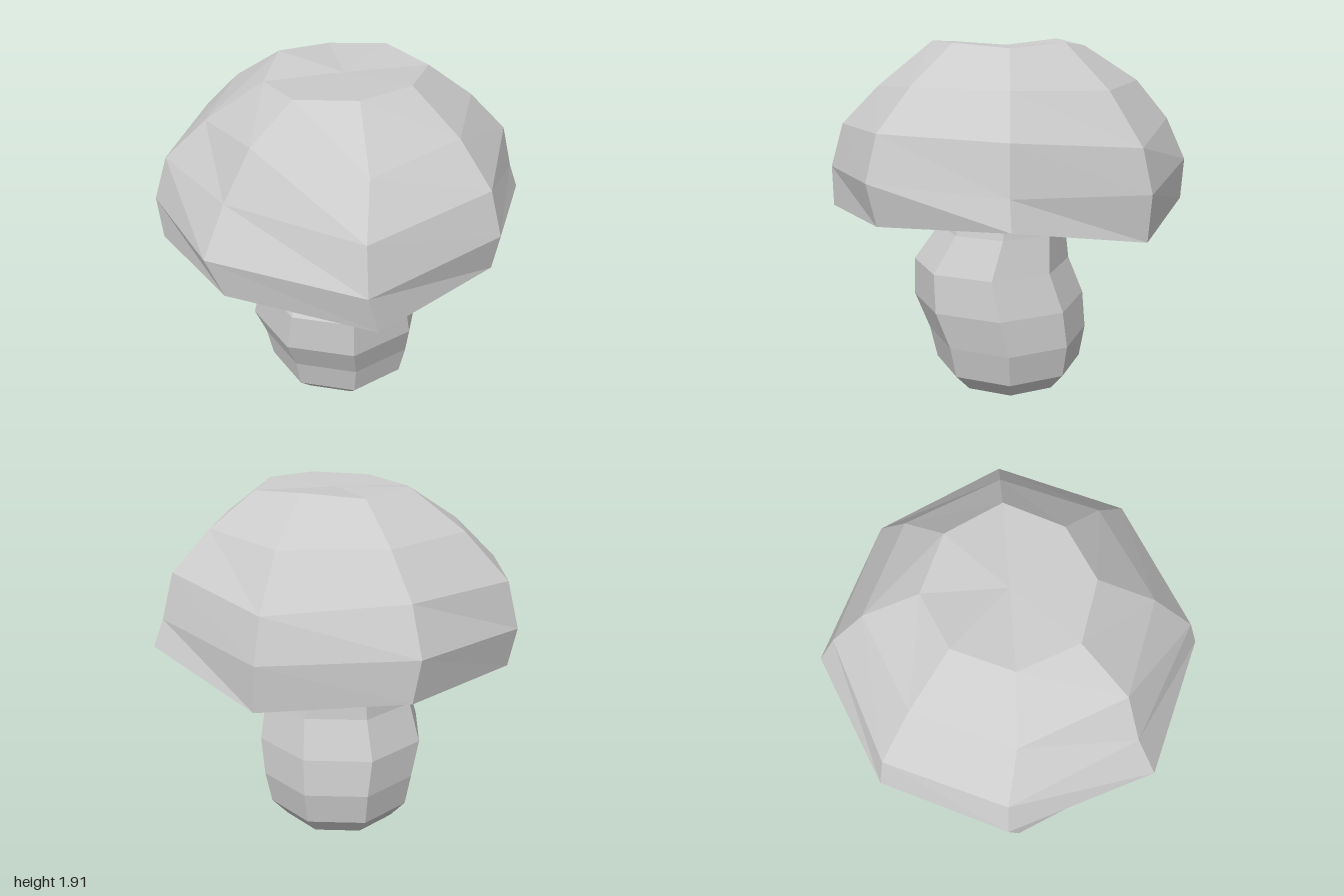
import * as THREE from 'three';

const SIDES = 8;

// Joins rings of points, listed from bottom to top, into a closed faceted skin.
function loft(name, rings, bottomCentre, topCentre) {
  const pos = [];
  const tri = (...pts) => pts.forEach((p) => pos.push(...p));
  const last = rings[rings.length - 1];
  for (let k = 0; k < SIDES; k++) {
    const n = (k + 1) % SIDES;
    for (let i = 0; i < rings.length - 1; i++) {
      const [lo, hi] = [rings[i], rings[i + 1]];
      tri(lo[k], hi[k], hi[n]);
      tri(lo[k], hi[n], lo[n]);
    }
    tri(bottomCentre, rings[0][k], rings[0][n]);
    tri(topCentre, last[n], last[k]);
  }
  const geo = new THREE.BufferGeometry();
  geo.setAttribute('position', new THREE.Float32BufferAttribute(pos, 3));
  geo.computeVertexNormals();
  const mesh = new THREE.Mesh(
    geo, new THREE.MeshStandardMaterial({ color: 0xcccccc, flatShading: true }));
  mesh.name = name;
  return mesh;
}

// Bent stem: each ring has height, radius and a shifted centre.
function makeStem() {
  const profile = [
    { y: 0, r: 0.325, x: -0.015, z: -0.01 },
    { y: 0.1, r: 0.415, x: -0.015, z: -0.005 },
    { y: 0.28, r: 0.45, x: -0.015, z: 0 },
    { y: 0.48, r: 0.485, x: -0.045, z: 0.05 },
    { y: 0.69, r: 0.44, x: -0.045, z: 0.09 },
    { y: 0.89, r: 0.357, x: -0.04, z: 0.03 },
    { y: 1.08, r: 0.3, x: -0.025, z: 0.01 },
  ];
  const rings = profile.map(({ y, r, x, z }) =>
    Array.from({ length: SIDES }, (_, k) => {
      const a = (k / SIDES) * Math.PI * 2;
      return [x + r * Math.cos(a), y, z + r * Math.sin(a)];
    }));
  return loft('stem', rings, [-0.015, 0, -0.01], [-0.025, 1.08, 0.01]);
}

// Irregular cap: radius and height per side, with a slight twist of each column.
function makeCap() {
  const twist = [0.5, 2, 4.5, 4.8, 4.5, -0.8, -2.5, -1.5];
  const profile = [
    { t: 0.3, r: [1, 0.9, 0.97, 0.963, 0.98, 0.96, 0.97, 0.933],
      y: [1.12, 1.055, 1.01, 1.09, 1.01, 1.04, 1.045, 0.975] },
    { t: 1, r: [0.945, 0.94, 0.985, 1.017, 1.002, 0.997, 0.99, 0.94],
      y: [1.26, 1.27, 1.22, 1.3, 1.22, 1.24, 1.26, 1.21] },
    { t: 1, r: [0.88, 0.867, 0.912, 0.867, 0.923, 0.933, 0.88, 0.877],
      y: [1.5, 1.5, 1.46, 1.53, 1.46, 1.48, 1.49, 1.43] },
    { t: 0.3, r: [0.68, 0.67, 0.7, 0.72, 0.7, 0.7, 0.7, 0.68],
      y: [1.71, 1.71, 1.67, 1.77, 1.68, 1.71, 1.7, 1.69] },
    { t: 0, r: [0.44, 0.396, 0.4, 0.42, 0.4, 0.403, 0.41, 0.403],
      y: [1.89, 1.91, 1.91, 1.895, 1.87, 1.91, 1.885, 1.91] },
  ];
  const rings = profile.map(({ t, r, y }) =>
    r.map((radius, k) => {
      const a = THREE.MathUtils.degToRad((k * 360) / SIDES + t * twist[k]);
      return [radius * Math.cos(a), y[k], radius * Math.sin(a)];
    }));
  return loft('cap', rings, [0, 1.045, 0], [0, 1.885, 0]);
}

export function createModel() {
  const group = new THREE.Group();
  group.name = 'mushroom';
  group.add(makeStem(), makeCap());
  return group;
}
